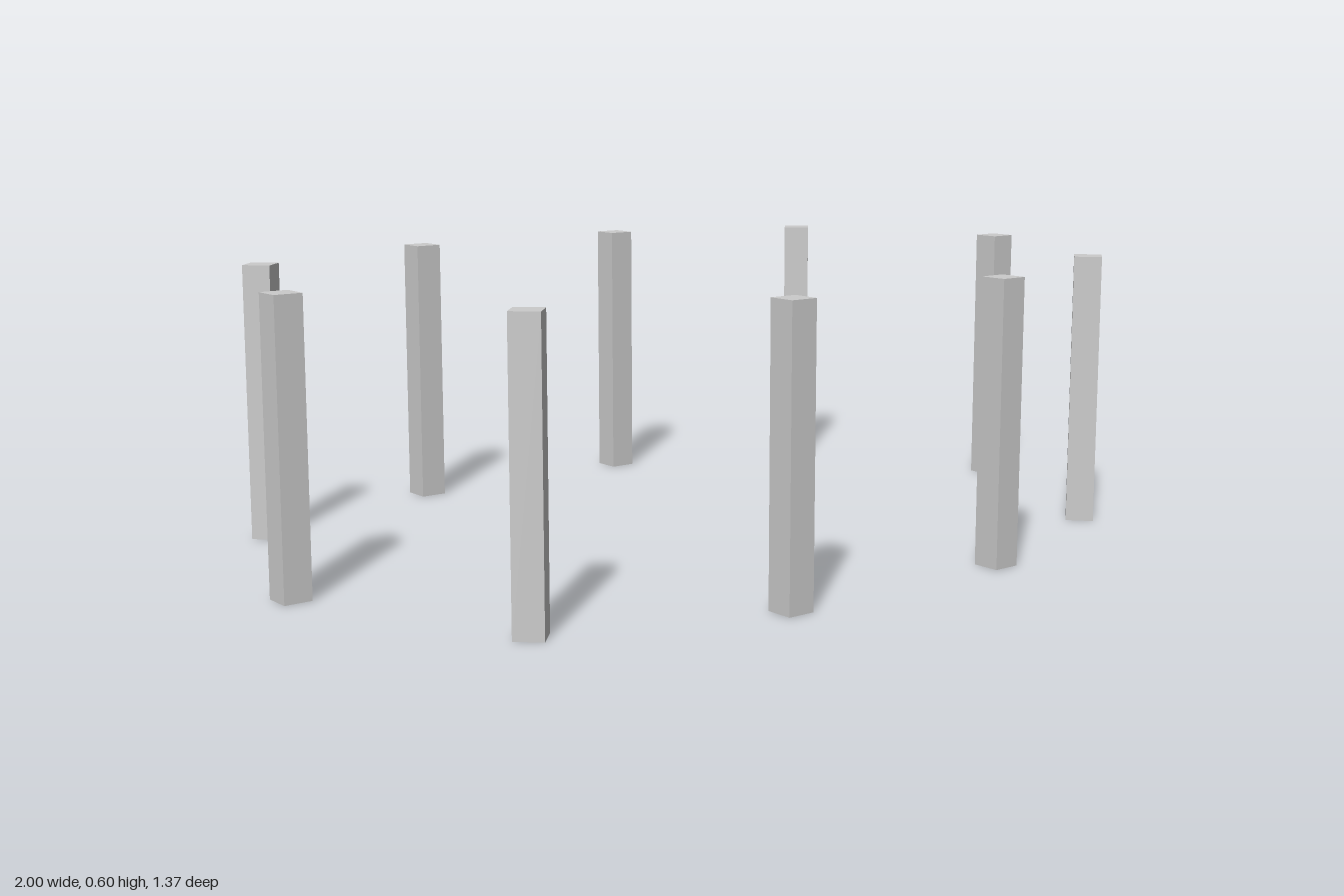
import * as THREE from 'three';

const HEIGHT = 0.595;
const WIDTH = 0.06;

// Each post: name, x, z, turn about the vertical in degrees
const POSTS = [
  ['leftPost', 0.97, 0, 0],
  ['rightPost', -0.97, 0, 0],
  ['frontLeftPost', 0.29, 0.657, 0],
  ['frontRightPost', -0.27, 0.657, 0],
  ['backLeftPost', 0.29, -0.657, 0],
  ['backRightPost', -0.27, -0.657, 0],
  ['frontLeftCornerPost', 0.752, 0.483, 41],
  ['frontRightCornerPost', -0.748, 0.493, 47],
  ['backLeftCornerPost', 0.75, -0.487, 48],
  ['backRightCornerPost', -0.765, -0.494, 44],
];

export function createModel() {
  const model = new THREE.Group();
  model.name = 'postRing';

  // All posts share one square timber shape standing on the ground
  const timber = new THREE.BoxGeometry(WIDTH, HEIGHT, WIDTH).translate(0, HEIGHT / 2, 0);
  const material = new THREE.MeshStandardMaterial({ color: 0xcccccc, flatShading: true });

  for (const [name, x, z, turn] of POSTS) {
    const post = new THREE.Mesh(timber, material);
    post.name = name;
    post.position.set(x, 0, z);
    post.rotation.y = THREE.MathUtils.degToRad(turn);
    model.add(post);
  }
  return model;
}
